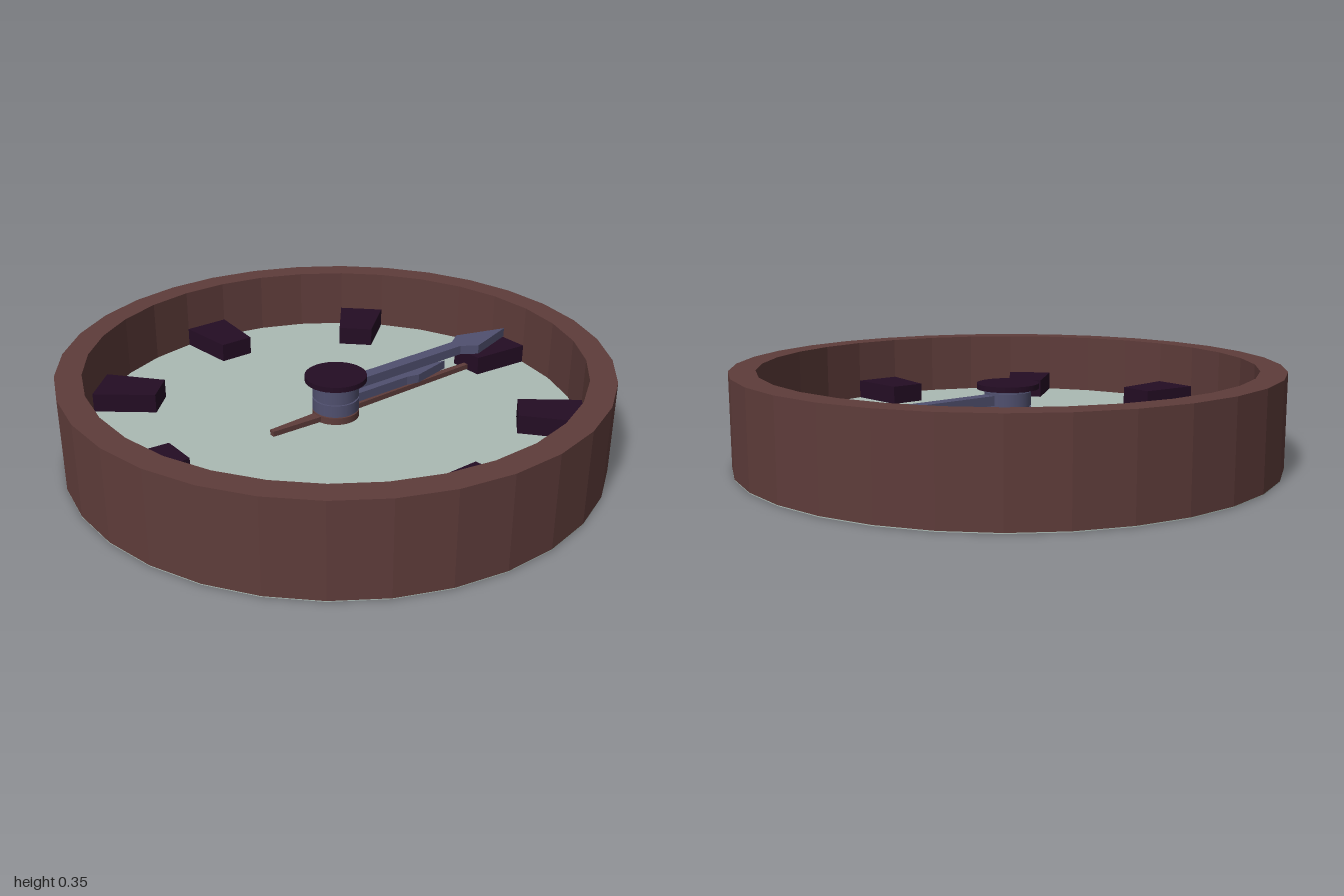
import * as THREE from 'three';

const material = (name, color) => {
  const m = new THREE.MeshStandardMaterial({ color });
  m.name = name;
  return m;
};

// Regular polygon with flats facing the axes, given its apothem
function ring(apothem, sides = 32) {
  const r = apothem / Math.cos(Math.PI / sides);
  return Array.from({ length: sides }, (_, i) => {
    const a = ((i + 0.5) / sides) * Math.PI * 2;
    return new THREE.Vector2(r * Math.cos(a), r * Math.sin(a));
  });
}

// Symmetric outline from [halfWidth, distance] pairs, pointing to the twelve o'clock side
function mirrored(half) {
  const right = half.map(([w, d]) => new THREE.Vector2(w, d));
  const left = half.filter(([w]) => w > 0).map(([w, d]) => new THREE.Vector2(-w, d)).reverse();
  return [...right, ...left];
}

// Flat slab lying between two heights, with an optional hole
function slab(name, mat, points, y0, y1, hole) {
  const shape = new THREE.Shape(points);
  if (hole) shape.holes.push(new THREE.Path(hole));
  const geo = new THREE.ExtrudeGeometry(shape, { depth: y1 - y0, bevelEnabled: false });
  geo.rotateX(-Math.PI / 2);
  const mesh = new THREE.Mesh(geo, mat);
  mesh.name = name;
  mesh.position.y = y0;
  return mesh;
}

function disc(name, mat, radius, y0, y1) {
  const mesh = new THREE.Mesh(new THREE.CylinderGeometry(radius, radius, y1 - y0, 32), mat);
  mesh.name = name;
  mesh.position.y = (y0 + y1) / 2;
  return mesh;
}

export function createModel() {
  const wood = material('brown wood', 0x5e3c3a);
  const pale = material('pale dial', 0xabbab4);
  const dark = material('dark plum', 0x240d24);
  const steel = material('blue steel', 0x50506f);

  const clock = new THREE.Group();
  clock.name = 'clock';

  // Case and dial
  clock.add(
    slab('backPlate', pale, ring(1), 0, 0.003),
    slab('rim', wood, ring(1), 0.003, 0.35, ring(0.905)),
    slab('dial', pale, ring(0.905), 0.003, 0.116)
  );

  // Eight wedge-shaped markers
  const wedge = mirrored([[0.068, 0.67], [0.09, 0.907]]);
  for (let i = 0; i < 8; i++) {
    const marker = slab('marker', dark, wedge, 0.116, 0.188);
    marker.rotation.y = (i * Math.PI) / 4;
    clock.add(marker);
  }

  // Second hand with its tail
  const second = new THREE.Group();
  second.name = 'secondHand';
  second.add(
    slab('secondPointer', wood, mirrored([[0.011, -0.29], [0.02, -0.1], [0.02, 0.1], [0.008, 0.8]]), 0.12, 0.14),
    disc('secondBoss', wood, 0.087, 0.116, 0.142)
  );

  // Hour hand
  const hour = new THREE.Group();
  hour.name = 'hourHand';
  hour.add(
    slab('hourPointer', steel, mirrored([[0.025, 0], [0.025, 0.33], [0.037, 0.38], [0, 0.55]]), 0.152, 0.186),
    disc('hourBoss', steel, 0.087, 0.147, 0.192)
  );

  // Minute hand
  const minute = new THREE.Group();
  minute.name = 'minuteHand';
  minute.add(
    slab('minutePointer', steel, mirrored([[0.025, 0], [0.025, 0.61], [0.065, 0.67], [0, 0.88]]), 0.206, 0.242),
    disc('minuteBoss', steel, 0.087, 0.2, 0.25)
  );

  // Spindle and cap
  clock.add(
    second, hour, minute,
    disc('spindle', steel, 0.08, 0.116, 0.262),
    disc('cap', dark, 0.115, 0.26, 0.28)
  );
  return clock;
}
